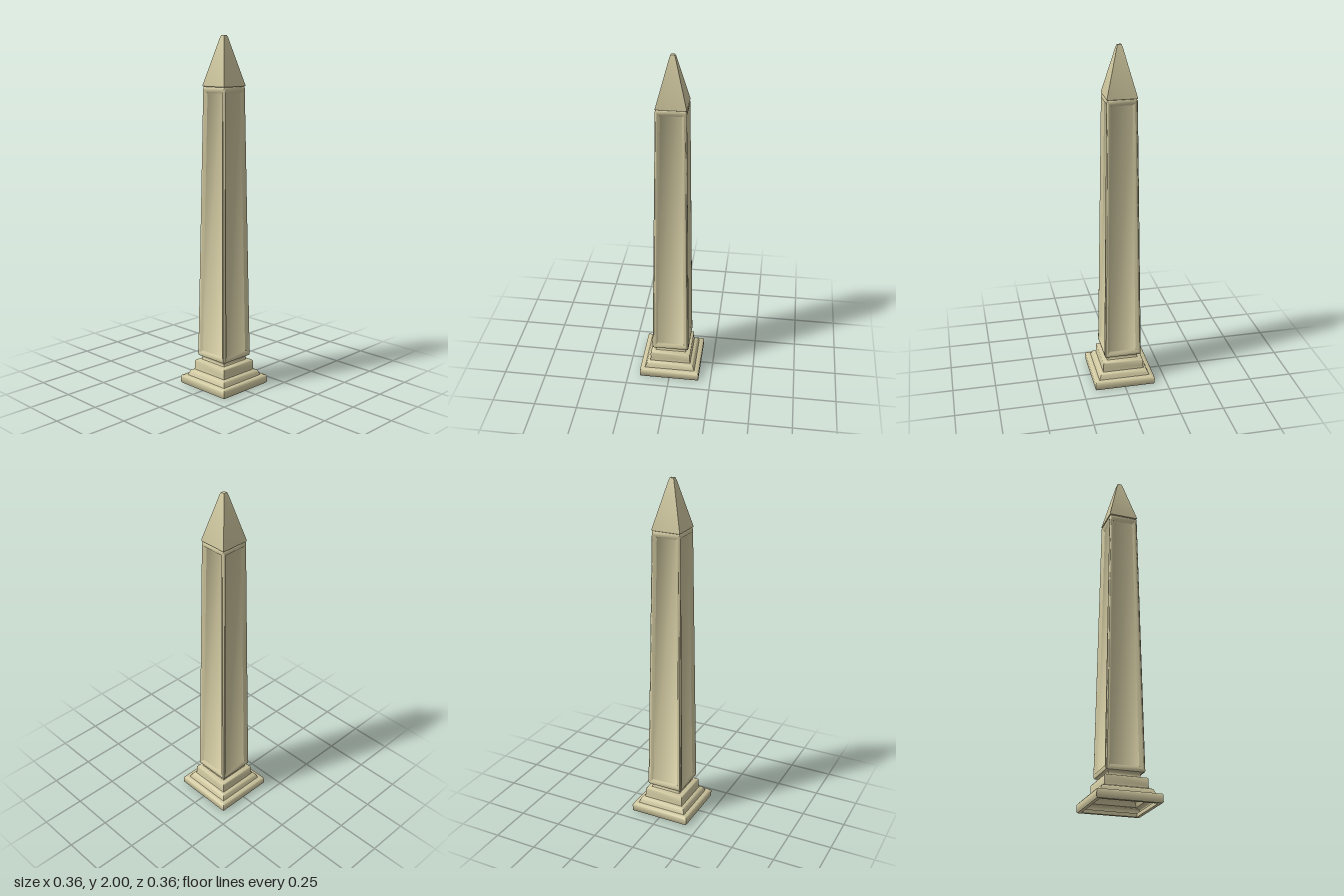
import * as THREE from 'three';
import { mergeGeometries, toCreasedNormals } from 'three/addons/utils/BufferGeometryUtils.js';

const CREASE = 0.95;

// Square solid from a profile of [half width, height], listed upward along the outside.
function squareLathe(profile) {
  const points = profile.map(([w, y]) => new THREE.Vector2(w * Math.SQRT2, y));
  return toCreasedNormals(new THREE.LatheGeometry(points, 4, Math.PI / 4), CREASE);
}

// One tapered side: four-cornered rings stepping inward, closed by the panel.
// Each ring is [bottom, top], each end [half width, y, z].
function shaftSide(rings) {
  const loops = rings.map(([[bw, by, bz], [tw, ty, tz]]) => [
    [-bw, by, bz], [bw, by, bz], [tw, ty, tz], [-tw, ty, tz],
  ]);
  const pos = [];
  const quad = (a, b, c, d) => pos.push(...a, ...b, ...c, ...a, ...c, ...d);
  for (let k = 0; k < loops.length - 1; k++) {
    for (let i = 0; i < 4; i++) {
      const j = (i + 1) % 4;
      quad(loops[k][i], loops[k][j], loops[k + 1][j], loops[k + 1][i]);
    }
  }
  quad(...loops[loops.length - 1]);
  const geometry = new THREE.BufferGeometry();
  geometry.setAttribute('position', new THREE.Float32BufferAttribute(pos, 3));
  return geometry;
}

export function createModel() {
  const group = new THREE.Group();
  group.name = 'obelisk';
  const stone = new THREE.MeshStandardMaterial({ color: 0xd0c8a0, side: THREE.DoubleSide });
  const add = (name, geometry) => {
    const mesh = new THREE.Mesh(geometry, stone);
    mesh.name = name;
    group.add(mesh);
  };

  // Stepped plinth, hollow underneath with a flat rim
  add('plinth', squareLathe([
    [0.155, 0.02], [0.155, 0], [0.174, 0], [0.178, 0.006], [0.178, 0.042], [0.174, 0.048],
    [0.15, 0.05], [0.145, 0.062], [0.138, 0.078], [0.122, 0.085],
    [0.119, 0.1], [0.119, 0.136], [0.114, 0.142], [0.092, 0.146],
  ]));

  // Narrow neck flaring to the underside of the shaft
  add('neck', squareLathe([
    [0.092, 0.146], [0.088, 0.152], [0.088, 0.162], [0.095, 0.168], [0.105, 0.172],
  ]));

  // Tapered shaft: eased corner, frame, bevel and sunken panel on every side
  const side = shaftSide([
    [[0.105, 0.172, 0.105], [0.08, 1.718, 0.08]],
    [[0.102, 0.182, 0.109], [0.077, 1.712, 0.084]],
    [[0.091, 0.192, 0.109], [0.07, 1.7, 0.084]],
    [[0.078, 0.203, 0.095], [0.058, 1.687, 0.07]],
  ]);
  const sides = [0, 1, 2, 3].map((i) => side.clone().rotateY((i * Math.PI) / 2));
  add('shaft', toCreasedNormals(mergeGeometries(sides), CREASE));

  // Pointed cap above a thin groove, with a small blunt tip
  add('cap', squareLathe([
    [0.08, 1.718], [0.077, 1.721], [0.083, 1.724], [0.083, 1.73],
    [0.016, 1.985], [0.011, 1.998], [0, 2],
  ]));

  return group;
}
